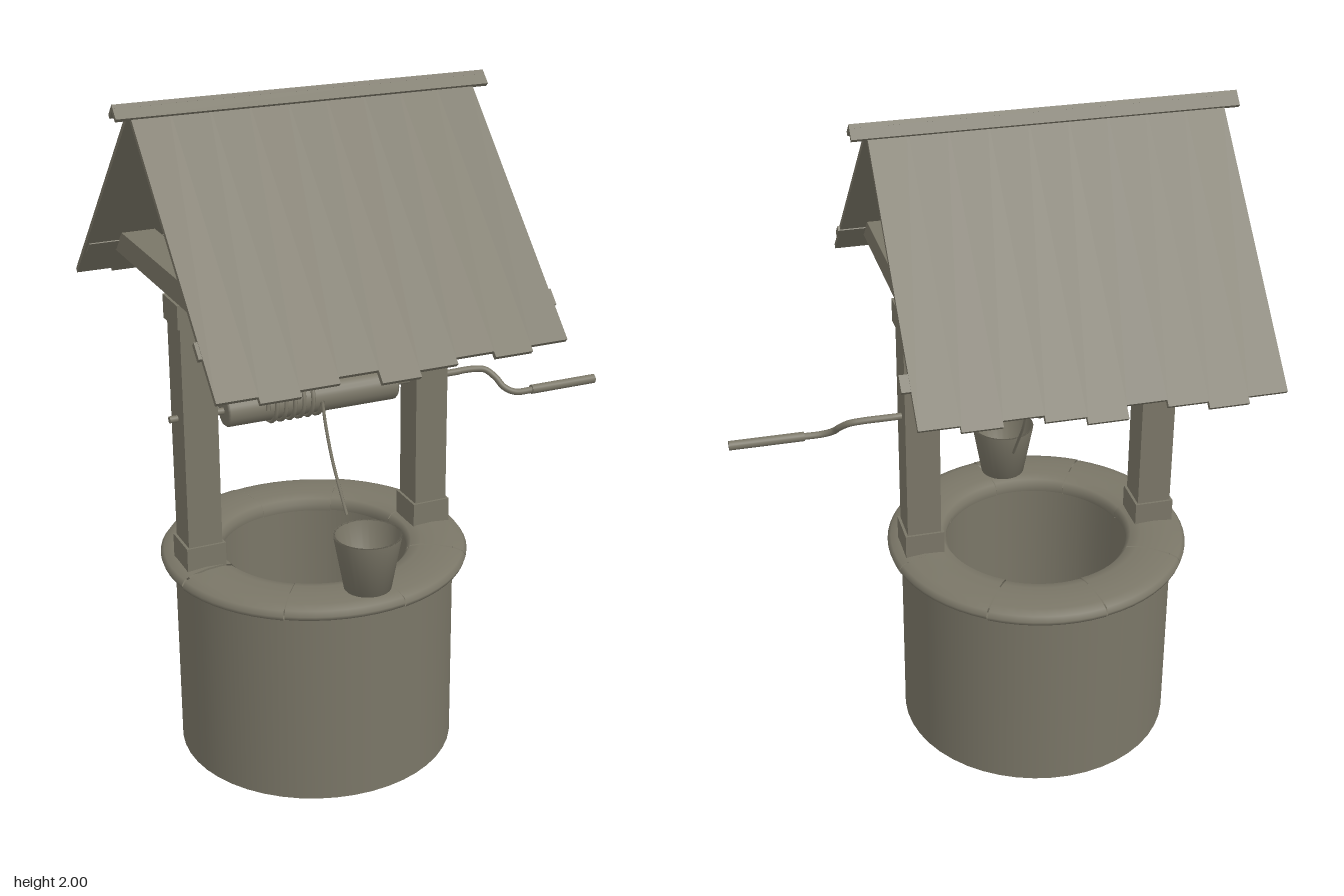
import * as THREE from 'three';

const V = (x, y, z) => new THREE.Vector3(x, y, z);

export function createModel() {
  const model = new THREE.Group();
  const stone = new THREE.MeshStandardMaterial({ color: 0x7a7667, side: THREE.DoubleSide });
  stone.name = 'weathered grey brown';

  const add = (name, geometry, x = 0, y = 0, z = 0) => {
    const mesh = new THREE.Mesh(geometry, stone);
    mesh.name = name;
    mesh.position.set(x, y, z);
    model.add(mesh);
    return mesh;
  };
  const lathe = (pts, seg = 40, start = 0, len = Math.PI * 2) =>
    new THREE.LatheGeometry(pts.map(p => new THREE.Vector2(...p)), seg, start, len);
  const tube = (pts, r, seg, sides = 8) =>
    new THREE.TubeGeometry(new THREE.CatmullRomCurve3(pts), seg, r, sides);
  const rod = (name, r, x0, x1, y, z) =>
    add(name, new THREE.CylinderGeometry(r, r, x1 - x0, 20), (x0 + x1) / 2, y, z).rotation.z = Math.PI / 2;

  // Well shaft: outer and inner walls, open below
  const cx = -0.18;
  add('outerWall', new THREE.CylinderGeometry(0.415, 0.415, 0.62, 48, 1, true), cx, 0.31);
  add('innerWall', new THREE.CylinderGeometry(0.285, 0.285, 0.62, 24, 1, true), cx, 0.31);

  // Rim of rounded curved stones
  const rimProfile = [[0.28, 0.6], [0.44, 0.6], [0.453, 0.606], [0.457, 0.618], [0.447, 0.632],
    [0.42, 0.641], [0.37, 0.646], [0.32, 0.644], [0.29, 0.637], [0.277, 0.622], [0.28, 0.6]];
  const stones = 8, arc = Math.PI * 2 / stones;
  for (let i = 0; i < stones; i++) {
    add('rimStone', lathe(rimProfile, 8, i * arc + 0.2, arc - 0.008), cx, (i % 3) * 0.002);
  }

  // Posts with collars, and sloped-end cross beams
  const beamShape = new THREE.Shape();
  [[-0.52, 1.45], [0.52, 1.45], [0.45, 1.52], [-0.45, 1.52]].forEach(([z, y], i) =>
    i ? beamShape.lineTo(z, y) : beamShape.moveTo(z, y));
  for (const x of [-0.54, 0.182]) {
    add('post', new THREE.BoxGeometry(0.102, 0.83, 0.106), x, 1.045);
    add('postFoot', new THREE.BoxGeometry(0.118, 0.077, 0.12), x, 0.677);
    add('postCollar', new THREE.BoxGeometry(0.118, 0.07, 0.12), x, 1.415);
    const beam = new THREE.ExtrudeGeometry(beamShape, { depth: 0.102, bevelEnabled: false });
    beam.translate(0, 0, -0.051).rotateY(-Math.PI / 2);
    add('crossBeam', beam, x);
  }

  // Roof: slabs running down the slope from the ridge on either side
  const slope = 0.789;
  const slab = (name, side, x0, x1, start, length, thick, top) => {
    const g = new THREE.BoxGeometry(x1 - x0, thick, length);
    g.translate(0, -thick / 2, side * (start + length / 2));
    add(name, g, (x0 + x1) / 2, top, 0).rotation.x = side * slope;
  };
  const reach = [0.605, 0.618, 0.605, 0.592, 0.618, 0.605, 0.592, 0.604, 0.592];
  const plank = 1 / reach.length;
  for (const side of [1, -1]) {
    reach.forEach((z, i) => slab('roofPlank', side, -0.69 + i * plank, -0.69 + (i + 1) * plank,
      0, z / Math.cos(slope), 0.014, 1.988));
    slab('ridgeCap', side, -0.733, 0.355, 0, 0.046, 0.013, 2.0);
    const shift = side > 0 ? -0.018 : 0;
    slab('roofBatten', side, -0.682 + shift, 0.335 + shift, 0.685, 0.048, 0.016, 1.986);
  }

  // Winding drum on its axle
  const ay = 1.098;
  rod('axle', 0.01, -0.615, 0.3, ay, 0);
  const drum = lathe([[0, -0.267], [0.042, -0.267], [0.048, -0.26], [0.048, 0.26], [0.042, 0.267], [0, 0.267]], 24);
  add('drum', drum, -0.187, ay).rotation.z = Math.PI / 2;

  // Bent crank and its grip
  add('crank', tube([V(0.24, ay, 0), V(0.35, ay, 0), V(0.385, ay - 0.006, 0.006), V(0.41, ay - 0.028, 0.028),
    V(0.425, ay - 0.052, 0.052), V(0.455, ay - 0.067, 0.068), V(0.54, ay - 0.068, 0.07)], 0.01, 48, 12));
  rod('crankGrip', 0.014, 0.51, 0.73, ay - 0.068, 0.07);

  // Rope wound on the drum, then running down toward the bucket
  const turns = 6, steps = 16, coil = [];
  for (let i = 0; i <= turns * steps; i++) {
    const a = i / steps * Math.PI * 2;
    coil.push(V(-0.338 + 0.168 * i / (turns * steps), ay + 0.052 * Math.sin(a), 0.052 * Math.cos(a)));
  }
  add('ropeCoil', tube(coil, 0.0065, turns * 24, 6));
  add('ropeEnd', tube([V(-0.17, ay, 0.052), V(-0.17, 1.03, 0.075), V(-0.168, 0.94, 0.115),
    V(-0.165, 0.86, 0.165), V(-0.161, 0.8, 0.2)], 0.005, 24, 6));

  // Hollow tapered bucket resting on the rim
  add('bucket', lathe([[0, 0], [0.068, 0], [0.098, 0.163], [0.091, 0.163], [0.063, 0.012], [0, 0.012]], 28),
    -0.169, 0.647, 0.36);

  return model;
}
